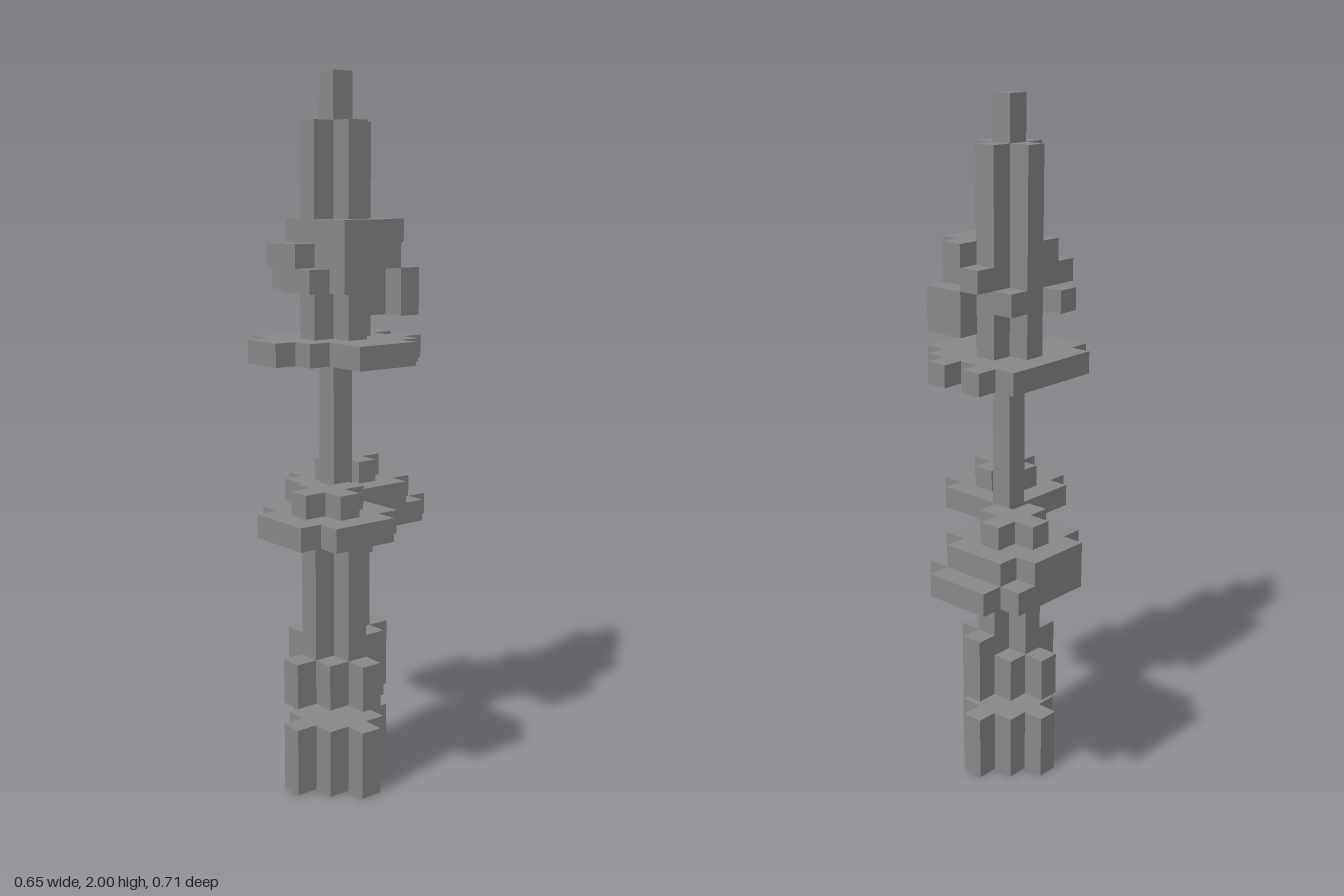
import * as THREE from 'three';

// Block size: the plant is 31 blocks tall
const U = 2 / 31;

export function createModel() {
  const model = new THREE.Group();
  model.name = 'blockPlant';
  const stone = new THREE.MeshStandardMaterial({ color: 0x888888 });
  stone.name = 'plainGrey';

  // Cells are counted from the stem axis: x and z from the stem, y from the ground.
  // Each run is [z, first x, last x], filled from row y0 to row y1.
  function part(name, y0, y1, runs) {
    const group = new THREE.Group();
    group.name = name;
    for (const [z, x0, x1] of runs) {
      const w = x1 - x0 + 1, h = y1 - y0 + 1;
      const mesh = new THREE.Mesh(new THREE.BoxGeometry(w * U, h * U, U), stone);
      mesh.name = name + 'Run';
      mesh.position.set((x0 + w / 2) * U, (y0 + h / 2) * U, (z + 1) * U);
      group.add(mesh);
    }
    model.add(group);
  }

  // Diamond of blocks with radius r around (cx, cz)
  function diamond(r, cx = 0, cz = 0) {
    const runs = [];
    for (let z = -r; z <= r; z++) {
      const w = r - Math.abs(z);
      runs.push([cz + z, cx - w, cx + w]);
    }
    return runs;
  }

  // Five by five pad with its corners cut
  function pad(cx, cz) {
    const runs = [];
    for (let z = -2; z <= 2; z++) {
      const w = Math.abs(z) === 2 ? 1 : 2;
      runs.push([cz + z, cx - w, cx + w]);
    }
    return runs;
  }

  // Base and the collar floating above it
  part('base', 0, 2, diamond(2));
  part('collar', 4, 5, diamond(2));
  part('collarTips', 6, 6, [[1, -1, -1], [-1, 1, 1], [-2, 0, 0]]);

  // Stem: thick below, a single block above
  part('lowerStem', 6, 11, diamond(1));
  part('upperStem', 12, 18, [[0, 0, 0]]);

  // Front leaf
  part('frontLeaf', 12, 12, pad(2, 2));
  part('frontLeafCap', 13, 13, diamond(1, 2, 2));

  // Back leaf, one layer thicker, with a short stalk
  part('backLeafStalk', 10, 10, [[-2, -1, -1]]);
  part('backLeafUnderside', 11, 11,
    [[-6, -4, -2], [-5, -5, -1], [-4, -5, -1], [-3, -5, -1], [-2, -5, -3]]);
  part('backLeaf', 12, 12, pad(-3, -3));
  part('backLeafCap', 13, 13, diamond(1, -3, -3));

  // Broad plate under the flower head
  part('headPlate', 19, 19, [
    [-3, -1, -1], [-3, 1, 1], [-2, -2, 2], [-1, -2, 3],
    [0, -2, 3], [1, -2, 3], [2, -2, 1], [3, -1, 0],
  ]);

  // Uneven petals winding round the head
  part('headNeck', 20, 21, diamond(1));
  part('lowPetal', 21, 21, [[-2, 1, 2], [-1, 1, 1]]);
  part('lowerPetals', 22, 22,
    [[-2, 1, 2], [-1, -1, 1], [0, -1, 1], [1, -2, 2], [2, 0, 1]]);
  part('middlePetals', 23, 23,
    [[-2, 0, 0], [-1, 0, 2], [0, -1, 2], [1, -1, 2], [2, -1, 0]]);
  part('upperPetals', 24, 24,
    [[-2, 1, 1], [-1, 0, 2], [0, -1, 2], [1, -1, 2]]);

  // Spire and its tip
  part('spire', 25, 28, diamond(1));
  part('spireTip', 29, 30, [[0, 0, 0]]);

  // Cells sit half a block off in z, so the axis lands on the cell centre
  for (const group of model.children) group.position.z = 0;
  return model;
}
